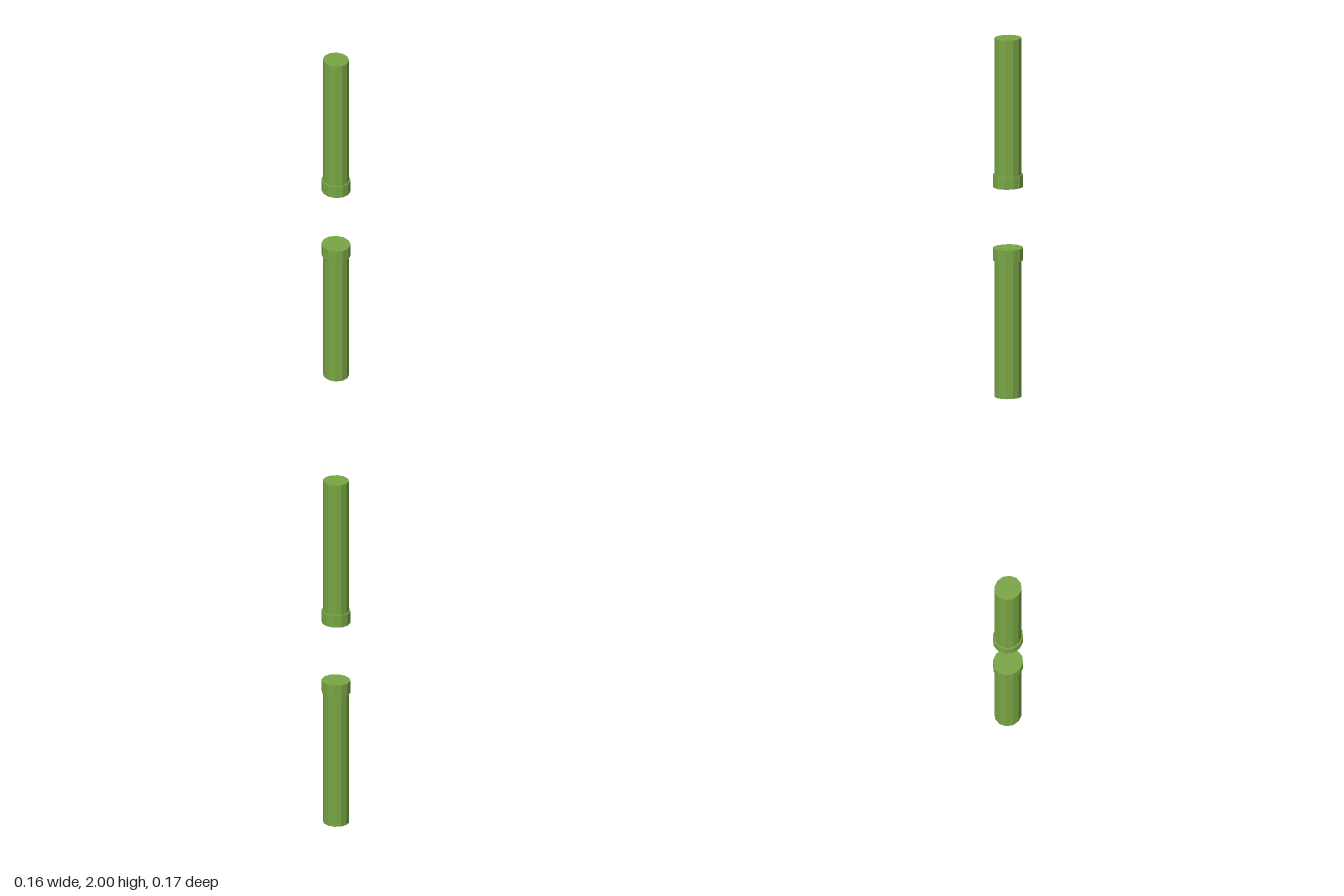
import * as THREE from 'three';

const SIDES = 12;
const DEPTH = 1.08; // pipes are slightly deeper than wide

export function createModel() {
  const model = new THREE.Group();
  model.name = 'pipePair';
  const green = new THREE.MeshStandardMaterial({ color: 0x78a644, flatShading: true });

  // Twelve-sided closed cylinder between two heights
  function section(name, radius, y0, y1) {
    const mesh = new THREE.Mesh(new THREE.CylinderGeometry(radius, radius, y1 - y0, SIDES), green);
    mesh.name = name;
    mesh.scale.z = DEPTH;
    mesh.position.y = (y0 + y1) / 2;
    return mesh;
  }

  // Lower pipe opens upwards, upper pipe is its mirror image about y = 1
  for (const [name, flip] of [['lowerPipe', false], ['upperPipe', true]]) {
    const span = (a, b) => (flip ? [2 - b, 2 - a] : [a, b]);
    const pipe = new THREE.Group();
    pipe.name = name;
    pipe.add(section('shaft', 0.07, ...span(0, 0.761)));
    pipe.add(section('rim', 0.078, ...span(0.761, 0.83)));
    model.add(pipe);
  }
  return model;
}
